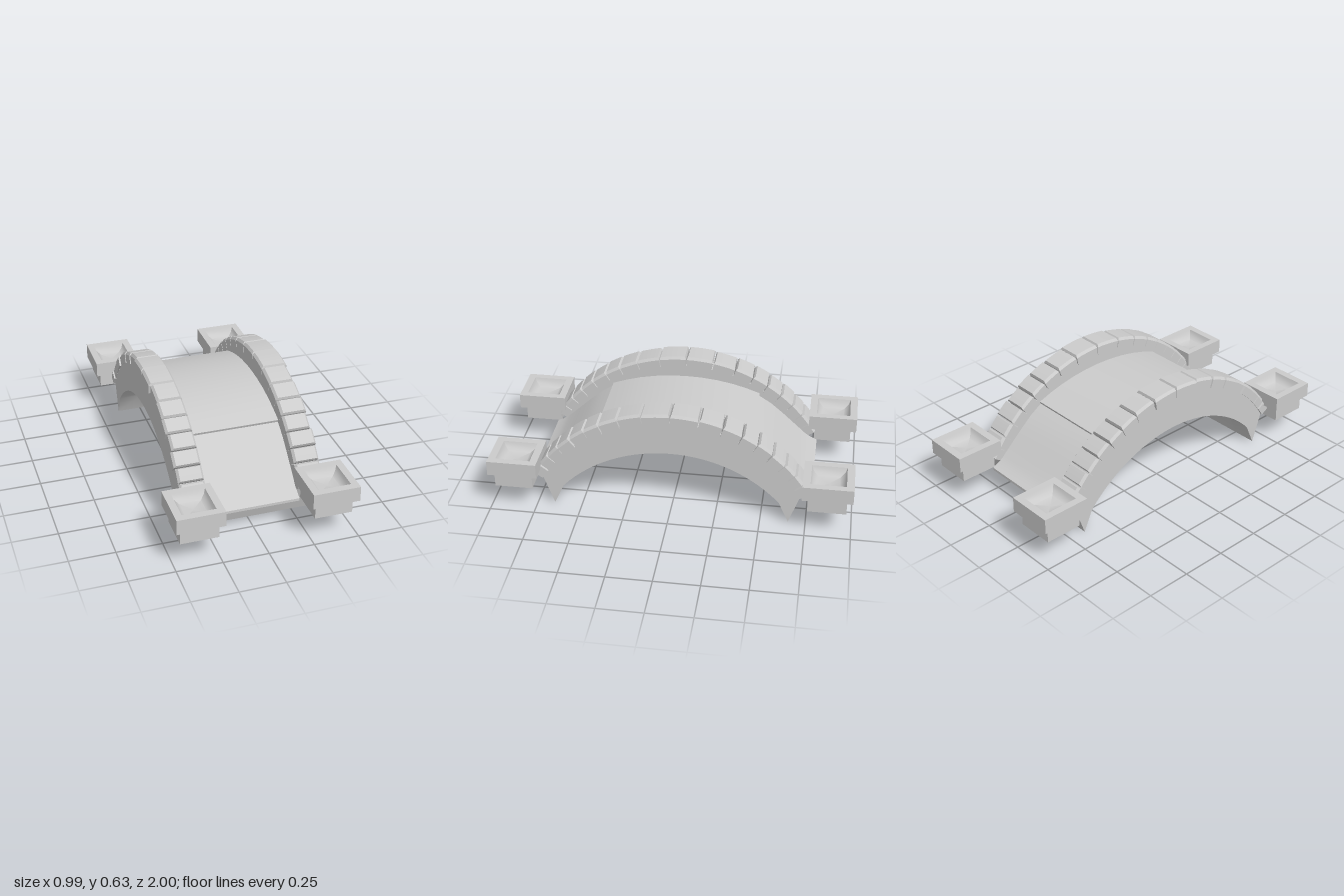
import * as THREE from 'three';
import { toCreasedNormals } from 'three/addons/utils/BufferGeometryUtils.js';

const stoneMat = new THREE.MeshStandardMaterial({ color: 0xcccccc });
const openMat = new THREE.MeshStandardMaterial({ color: 0xcccccc, side: THREE.DoubleSide });

function add(parent, name, geometry, material = stoneMat) {
  const mesh = new THREE.Mesh(geometry, material);
  mesh.name = name;
  parent.add(mesh);
  return mesh;
}

// Points [z, y] on a circle that peaks at (0, top), from z = from to z = to.
function arc(radius, top, from, to, steps) {
  const a = Math.asin(from / radius), b = Math.asin(to / radius);
  return Array.from({ length: steps + 1 }, (_, i) => {
    const t = a + (b - a) * i / steps;
    return [radius * Math.sin(t), top - radius + radius * Math.cos(t)];
  });
}

// Side profile (z, y) pushed through along x.
function slab(points, width) {
  const shape = new THREE.Shape(points.map(p => new THREE.Vector2(p[0], p[1])));
  const g = new THREE.ExtrudeGeometry(shape, { depth: width, bevelEnabled: false });
  g.translate(0, 0, -width / 2);
  g.rotateY(-Math.PI / 2);
  return toCreasedNormals(g, 0.35);
}

const SOFFIT = [[-0.655, 0], ...arc(0.812, 0.385, -0.6, 0.6, 28), [0.655, 0]];
const CENTRE_Y = -0.265, R_IN = 0.84, R_OUT = 0.897;

// One coping stone: a box bent along the arch, its top edges chamfered.
function copingStone(a0, a1, width) {
  const g = new THREE.BoxGeometry(1, 1, 1, 3, 2, 4);
  const p = g.attributes.position;
  const mid = (a0 + a1) / 2, span = a1 - a0;
  for (let i = 0; i < p.count; i++) {
    const top = p.getY(i) > 0.4, row = p.getY(i) + 0.5;
    const inset = top ? 0.012 : 0;
    const x = p.getX(i) * 2, edge = Math.abs(x) > 0.9;
    const angle = mid + p.getZ(i) * (span - 0.006 - inset * 1.2);
    const r = row < 0.1 ? R_IN - 0.006 : top ? R_OUT : R_OUT - 0.014;
    const px = edge ? Math.sign(x) * (width / 2 - inset) : x * width * 0.5;
    p.setXYZ(i, px, CENTRE_Y + r * Math.cos(angle), r * Math.sin(angle));
  }
  return toCreasedNormals(g, 0.4);
}

// Square lathe: profile of [half size, y] pairs, 1 = full half size.
function squareTurned(profile, halfX, halfZ) {
  const pts = profile.map(([r, y]) => new THREE.Vector2(r * Math.SQRT2, y));
  const g = new THREE.LatheGeometry(pts, 4, Math.PI / 4);
  g.scale(halfX, 1, halfZ);
  return toCreasedNormals(g, 0.6);
}

export function createModel() {
  const bridge = new THREE.Group();
  bridge.name = 'archBridge';

  // Vault with the stepped walkway on top
  const half = [[0.775, 0.13], [0.775, 0.145], [0.735, 0.165], [0.7, 0.19], [0.63, 0.255], [0.57, 0.31],
    [0.5, 0.37], [0.425, 0.418], [0.43, 0.432], [0.35, 0.46], [0.27, 0.482], [0.18, 0.499], [0.09, 0.509]];
  const mirrored = half.map(([z, y]) => [-z, y]).reverse();
  add(bridge, 'walkwayVault',
    slab([...SOFFIT, [0.7, 0.13], ...half, [0, 0.512], ...mirrored, [-0.7, 0.13]], 0.5));

  // Side walls, coping and end posts
  const wall = slab([...SOFFIT, [0.725, 0.2], ...arc(0.843, 0.578, 0.69, -0.69, 32), [-0.725, 0.2]], 0.135);
  const joints = [0, 0.179, 0.329, 0.456, 0.565, 0.675, 0.78, 0.875, 0.955, 1.03];
  const cap = squareTurned(
    [[0, 0.225], [1, 0.225], [1, 0.31], [0.7, 0.31], [0.62, 0.283], [0.45, 0.266], [0, 0.26]], 0.13, 0.1375);
  const base = squareTurned([[1, 0.14], [1, 0.225]], 0.104, 0.105);

  for (const side of [1, -1]) {
    const name = side > 0 ? 'left' : 'right';
    add(bridge, name + 'SideWall', wall).position.x = side * 0.3175;

    const coping = new THREE.Group();
    coping.name = name + 'Coping';
    bridge.add(coping);
    for (const end of [1, -1]) {
      for (let i = 0; i < joints.length - 1; i++) {
        const a = end > 0 ? joints[i] : -joints[i + 1];
        const b = end > 0 ? joints[i + 1] : -joints[i];
        const width = 0.143 + 0.005 * Math.cos(i * 2.4);
        add(coping, 'copingStone', copingStone(a, b, width)).position.x = side * (0.249 + width / 2);
      }
      const post = new THREE.Group();
      post.name = (end > 0 ? 'front' : 'back') + (side > 0 ? 'Left' : 'Right') + 'Post';
      add(post, 'postCap', cap);
      add(post, 'postBase', base, openMat);
      post.position.set(side * 0.364, 0, end * 0.8625);
      bridge.add(post);
    }
  }
  return bridge;
}
